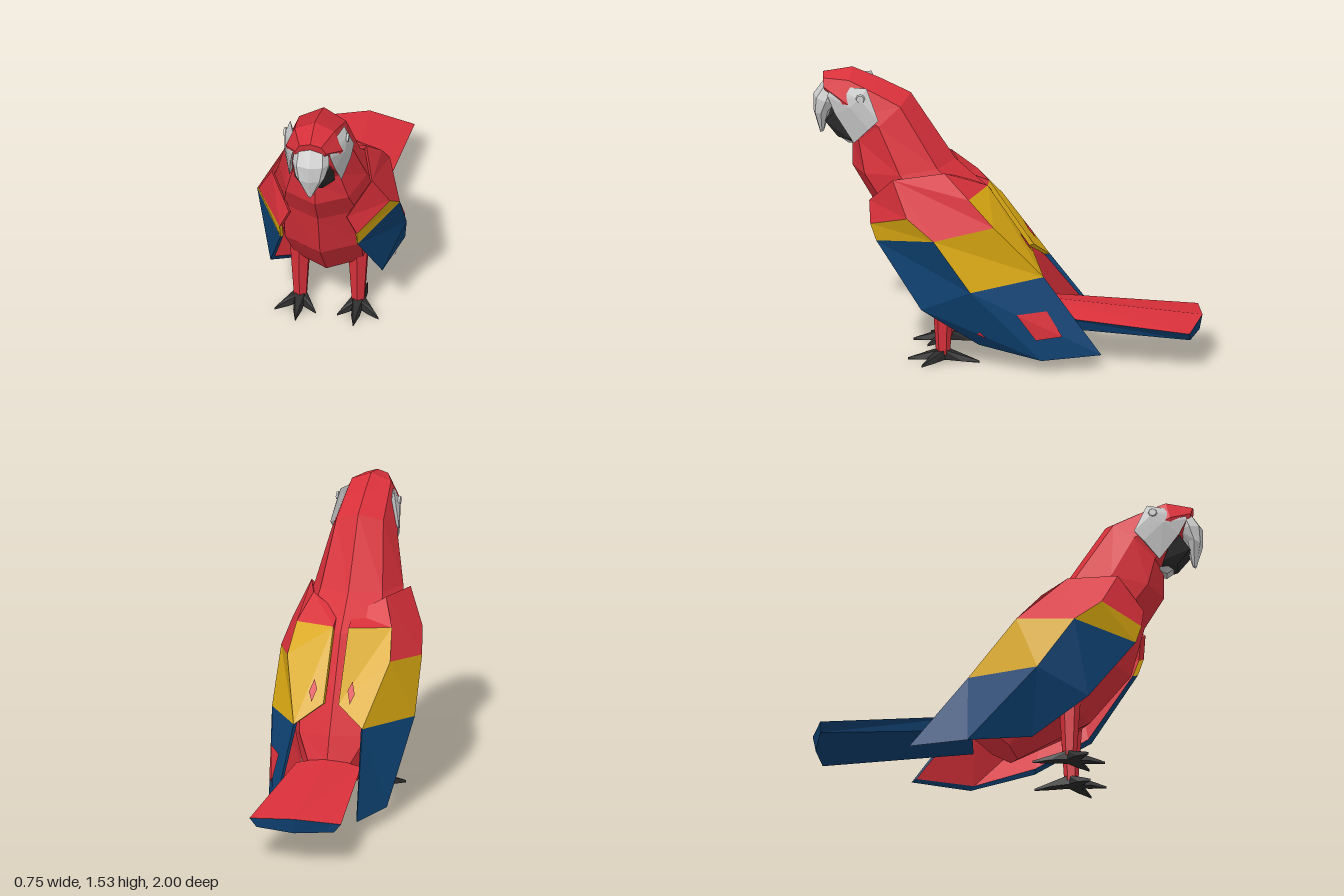
import * as THREE from 'three';
import { ConvexGeometry } from 'three/addons/geometries/ConvexGeometry.js';

const paint = (name, color) => {
  const m = new THREE.MeshStandardMaterial({ color });
  m.name = name;
  return m;
};

export function createModel() {
  const red = paint('scarlet feathers', 0xd8303a);
  const yellow = paint('yellow feathers', 0xd9a812);
  const blue = paint('blue feathers', 0x0e4172);
  const grey = paint('bare skin grey', 0xc4c4c4);
  const white = paint('beak grey', 0xcecece);
  const black = paint('black', 0x2b2b2b);

  const model = new THREE.Group();
  model.name = 'parrot';
  const add = (name, geometry, material, parent = model) => {
    const mesh = new THREE.Mesh(geometry, material);
    mesh.name = name;
    parent.add(mesh);
    return mesh;
  };

  // Flat-shaded geometry from a list of convex polygons
  const polygons = (faces) => {
    const pos = [];
    for (const f of faces)
      for (let i = 1; i < f.length - 1; i++) pos.push(...f[0], ...f[i], ...f[i + 1]);
    const g = new THREE.BufferGeometry();
    g.setAttribute('position', new THREE.Float32BufferAttribute(pos, 3));
    g.computeVertexNormals();
    return g;
  };

  // Rings given as [front z, front y, back z, back y, half width], skinned together
  const loft = (rings, sides) => {
    const loops = rings.map(([fz, fy, bz, by, w]) =>
      Array.from({ length: sides }, (_, k) => {
        const a = (k / sides) * Math.PI * 2;
        const c = Math.cos(a) / 2;
        return [w * Math.sin(a), (fy + by) / 2 + (fy - by) * c, (fz + bz) / 2 + (fz - bz) * c];
      }));
    const faces = [loops[0], [...loops[loops.length - 1]].reverse()];
    for (let i = 0; i < loops.length - 1; i++)
      for (let k = 0; k < sides; k++) {
        const n = (k + 1) % sides;
        faces.push([loops[i][k], loops[i + 1][k], loops[i + 1][n], loops[i][n]]);
      }
    return polygons(faces);
  };

  const hull = (points) => new ConvexGeometry(points.map((p) => new THREE.Vector3(...p)));
  const flip = (s, [x, y, z]) => [s * x, y, z];
  const orient = (s, face) => (s > 0 ? face : [...face].reverse()).map((p) => flip(s, p));

  // Head and body in one skin
  add('body', loft([
    [0.93, 1.38, 0.95, 1.50, 0.08],
    [0.87, 1.25, 0.80, 1.53, 0.145],
    [0.82, 1.17, 0.66, 1.475, 0.16],
    [0.80, 1.13, 0.50, 1.40, 0.173],
    [0.80, 1.00, 0.27, 1.05, 0.23],
    [0.70, 0.83, 0.09, 0.89, 0.27],
    [0.63, 0.56, -0.07, 0.60, 0.28],
    [0.42, 0.30, -0.17, 0.42, 0.25],
    [0.05, 0.10, -0.22, 0.30, 0.15],
  ], 8), red);

  // Hooked upper beak, lower beak and chin
  add('upperBeak', loft([
    [0.94, 1.465, 0.85, 1.43, 0.085],
    [1.00, 1.38, 0.86, 1.35, 0.095],
    [1.00, 1.29, 0.91, 1.30, 0.075],
    [0.965, 1.17, 0.945, 1.18, 0.012],
  ], 8), white);
  const pair = (points) => points.flatMap((p) => [p, flip(-1, p)]);
  add('lowerBeak', hull(pair([
    [0.10, 1.34, 0.86], [0.105, 1.17, 0.80], [0.06, 1.25, 0.935],
    [0.05, 1.165, 0.87], [0.08, 1.15, 0.79],
  ])), black);
  add('chin', hull(pair([
    [0.07, 1.16, 0.81], [0.03, 1.15, 0.85], [0.03, 1.125, 0.815], [0.06, 1.14, 0.76],
  ])), grey);

  // Tail: scarlet ridge above, blue below
  const T = (z, w, top, edge, low) => ({
    l: [-w, edge, z], r: [w, edge, z], m: [0, top, z - (z < -0.5 ? 0.045 : 0)],
    bl: [-w * 0.85, low, z], br: [w * 0.85, low, z], bm: [0, low - 0.01, z - (z < -0.5 ? 0.03 : 0)],
  });
  const a = T(-0.18, 0.17, 0.31, 0.27, 0.2);
  const b = T(-0.955, 0.24, 0.24, 0.215, 0.17);
  add('tailTop', polygons([[a.l, a.m, b.m, b.l], [a.m, a.r, b.r, b.m]]), red);
  add('tailUnderside', polygons([
    [a.l, b.l, b.bl, a.bl], [a.r, a.br, b.br, b.r],
    [a.bl, b.bl, b.bm, a.bm], [a.bm, b.bm, b.br, a.br],
    [b.l, b.m, b.bm, b.bl], [b.m, b.r, b.br, b.bm],
  ]), blue);

  // Wing corners: A front edge, B outer fold, Q back ridge, C inner edge, D and E tip
  const A0 = [0.15, 0.86, 0.70], A1 = [0.20, 0.75, 0.69], A2 = [0.20, 0.66, 0.66];
  const A3 = [0.29, 0.32, 0.42], A4 = [0.23, 0.12, 0.13];
  const B0 = [0.26, 1.01, 0.57], B1 = [0.34, 0.83, 0.49], B2 = [0.37, 0.72, 0.35], B3 = [0.375, 0.45, 0.16];
  const Q0 = [0.19, 1.03, 0.31], Q1 = [0.25, 0.91, 0.18], Q2 = [0.27, 0.77, 0.05], Q3 = [0.18, 0.48, -0.20];
  const C0 = [0.04, 0.96, 0.22], C1 = [0.04, 0.92, 0.10], C3 = [0.04, 0.58, -0.13];
  const D = [0.31, 0.07, -0.20], E = [0.22, 0.08, -0.50];
  const bands = [
    ['wingShoulder', red, [[A0, A1, B1, B0], [B0, B1, B2, Q2, Q1, Q0], [Q0, Q1, C1, C0]]],
    ['wingBand', yellow, [[A1, A2, B2, B1], [B2, B3, Q3, Q2], [C1, Q1, Q2, Q3, C3]]],
    ['wingFlight', blue, [[A2, A3, B3, B2], [A3, A4, D, B3], [B3, D, E, Q3]]],
  ];
  const allFaces = bands.flatMap((band) => band[2]);
  const isShared = (p, q) => allFaces.some((f) => f.some((v, i) => v === q && f[(i + 1) % f.length] === p));
  // Inner skin, pulled in towards the body
  const core = new THREE.Vector3(0, 0.5, 0.2);
  const inner = (p) => {
    const v = new THREE.Vector3(...p);
    return v.add(core.clone().sub(v).setLength(0.03)).toArray();
  };

  // Red feather flecks: outward push, then corners; each wing has its own set
  const topFleck = [[0, 0.006, -0.008], [0.08, 0.64, -0.09], [0.10, 0.684, -0.06], [0.12, 0.626, -0.10], [0.10, 0.581, -0.13]];
  const flecks = {
    1: [topFleck,
      [[0.007, 0.001, -0.002], [0.321, 0.32, -0.071], [0.307, 0.18, -0.17], [0.267, 0.191, -0.302], [0.246, 0.32, -0.22]],
      [[0.007, -0.002, 0], [0.299, 0.205, 0.135], [0.301, 0.185, 0.085], [0.3075, 0.22, 0.115]]],
    [-1]: [topFleck,
      [[0.007, 0.003, -0.004], [0.275, 0.60, 0.07], [0.28, 0.551, 0.045], [0.237, 0.552, -0.038], [0.259, 0.615, 0.023]],
      [[0.007, 0, 0.004], [0.30, 0.54, 0.375], [0.306, 0.4985, 0.36], [0.317, 0.52, 0.325], [0.318, 0.5585, 0.35]]],
  };
  const fleckRed = red.clone();
  fleckRed.name = 'fleck scarlet';
  fleckRed.side = THREE.DoubleSide;

  for (const s of [1, -1]) {
    const side = s > 0 ? 'left' : 'right';

    // Wing: three colour bands with their rims, and a scarlet lining
    const wing = new THREE.Group();
    wing.name = side + 'Wing';
    model.add(wing);
    for (const [name, mat, faces] of bands) {
      const rim = [];
      for (const f of faces)
        f.forEach((p, i) => {
          const q = f[(i + 1) % f.length];
          if (!isShared(p, q)) rim.push([q, p, inner(p), inner(q)]);
        });
      add(name, polygons([...faces, ...rim].map((f) => orient(s, f))), mat, wing);
    }
    add('wingLining', polygons(allFaces.map((f) => orient(s, f.map(inner).reverse()))), red, wing);
    for (const [push, ...pts] of flecks[s])
      add('wingFleck', polygons([orient(s, pts.map((p) => p.map((v, i) => v + push[i])))]), fleckRed, wing);

    // Bare cheek and eye
    add(side + 'Cheek', hull([
      [0.085, 1.45, 0.905], [0.10, 1.40, 0.92], [0.14, 1.46, 0.715], [0.162, 1.41, 0.75],
      [0.18, 1.30, 0.65], [0.172, 1.25, 0.70], [0.135, 1.16, 0.78], [0.115, 1.31, 0.88],
      [0.155, 1.36, 0.80], [0.08, 1.30, 0.76],
    ].map((p) => flip(s, p))), grey);
    const eye = add(side + 'Eye', new THREE.CylinderGeometry(0.02, 0.024, 0.012, 8), white);
    eye.rotation.z = -s * Math.PI / 2;
    eye.position.set(s * 0.163, 1.41, 0.745);

    // Leg
    const legGeo = new THREE.CylinderGeometry(0.06, 0.036, 0.38, 6).toNonIndexed();
    legGeo.computeVertexNormals();
    add(side + 'Leg', legGeo, red).position.set(s * 0.15, 0.23, 0.32);

    // Foot: toes spreading from the ankle
    const foot = new THREE.Group();
    foot.name = side + 'Foot';
    model.add(foot);
    for (const [x, z] of [[0.27, 0.42], [0.15, 0.50], [0.055, 0.42], [0.17, 0.13]]) {
      const dx = x - 0.15, dz = z - 0.32, len = Math.hypot(dx, dz);
      const nx = (dz / len) * 0.028, nz = (-dx / len) * 0.028;
      const mx = 0.15 + dx * 0.55, mz = 0.32 + dz * 0.55;
      add('toe', hull([
        [0.15 + nx, 0.07, 0.32 + nz], [0.15 - nx, 0.07, 0.32 - nz],
        [0.15 + nx, 0.015, 0.32 + nz], [0.15 - nx, 0.015, 0.32 - nz],
        [mx + nx * 0.8, 0.01, mz + nz * 0.8], [mx - nx * 0.8, 0.01, mz - nz * 0.8],
        [mx, 0.042, mz], [x, 0, z], [x, 0.012, z],
      ].map((p) => flip(s, p))), black, foot);
    }
  }
  return model;
}
